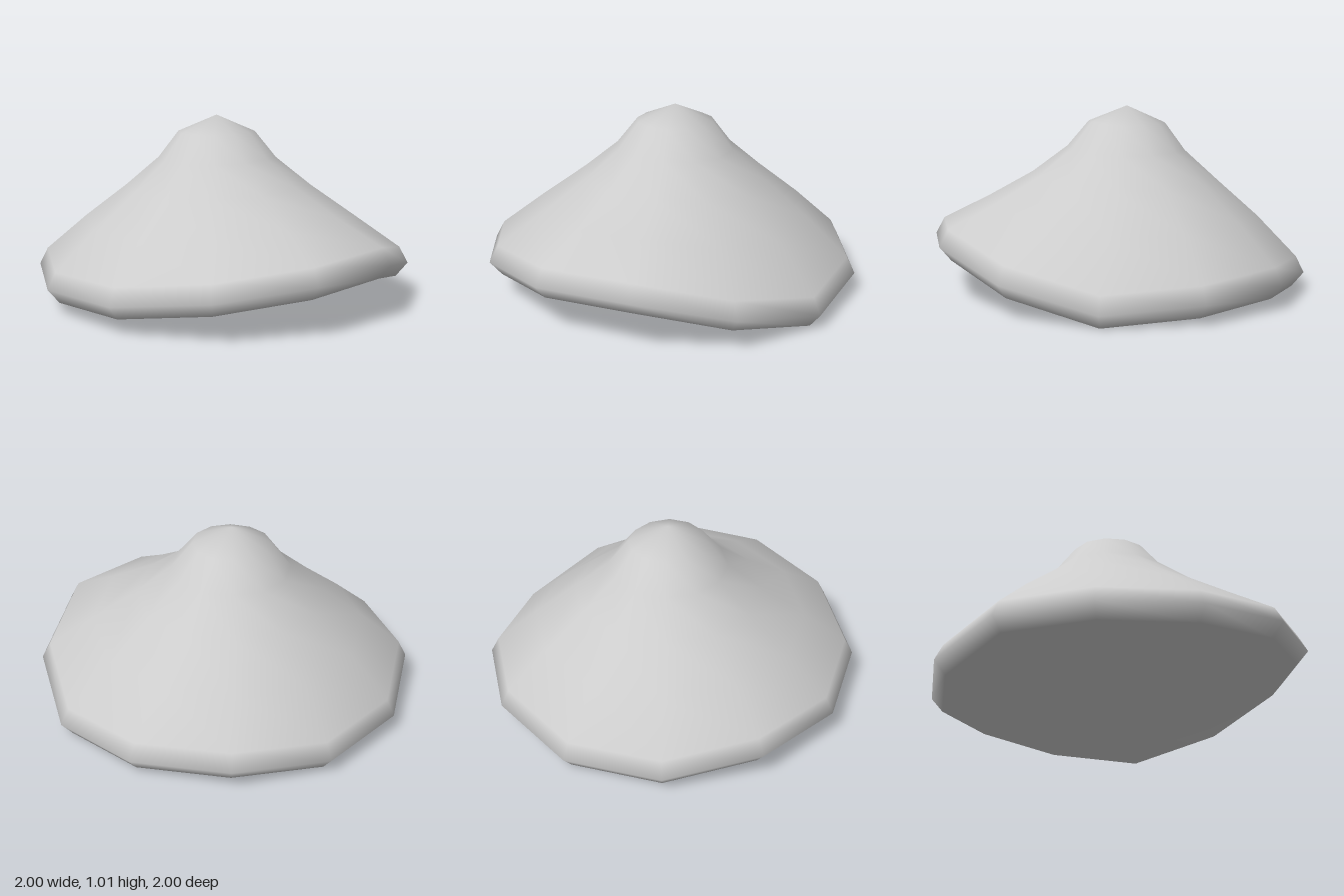
import * as THREE from 'three';

const SIDES = 12;
// Height of the wavy rim at each of the twelve corners, from the left side round the front
const RIM = [0.2, 0.145, 0.085, 0.065, 0.08, 0.02, 0.01, 0.05, 0.03, 0, 0.11, 0.22];

// Rings from crown to underside: half width, height, share of rim wave, x shift
const RINGS = [
  [0.205, 0.915, 0.05, -0.05],
  [0.315, 0.765, 0.1, -0.045],
  [0.495, 0.605, 0.17, -0.035],
  [0.725, 0.4, 0.5, -0.025],
  [0.955, 0.17, 1, -0.003],
  [1.0, 0.08, 1, 0],
  [0.938, 0.003, 1, 0],
  [0.8, 0.08, 0.85, 0],
  [0.5, 0.09, 0.3, 0],
  [0.25, 0.14, 0.1, 0],
];

function shellGeometry() {
  const positions = [-0.05, 1.01, 0];
  const index = [];
  const at = (ring, side) => 1 + ring * SIDES + (side % SIDES);

  for (const [half, height, wave, shift] of RINGS) {
    const radius = half / Math.cos(Math.PI / SIDES);
    for (let s = 0; s < SIDES; s++) {
      const a = ((s + 0.5) / SIDES) * Math.PI * 2;
      positions.push(shift + radius * Math.cos(a), height + wave * RIM[s], radius * Math.sin(a));
    }
  }
  const last = RINGS.length - 1;
  const centre = positions.length / 3;
  positions.push(0, 0.16, 0);

  for (let s = 0; s < SIDES; s++) {
    // Tip, bands and the middle of the underside
    index.push(0, at(0, s + 1), at(0, s));
    for (let r = 0; r < last; r++) {
      const a = at(r, s), b = at(r, s + 1), c = at(r + 1, s), d = at(r + 1, s + 1);
      index.push(a, b, c, b, d, c);
    }
    index.push(centre, at(last, s), at(last, s + 1));
  }

  const geometry = new THREE.BufferGeometry();
  geometry.setAttribute('position', new THREE.Float32BufferAttribute(positions, 3));
  geometry.setIndex(index);
  geometry.computeVertexNormals();
  return geometry;
}

export function createModel() {
  const group = new THREE.Group();
  group.name = 'pointedCap';
  const paleGrey = new THREE.MeshStandardMaterial({ color: 0xcccccc });
  paleGrey.name = 'paleGrey';

  // One closed, smooth shell: crown, rolled rim and shallow underside
  const cap = new THREE.Mesh(shellGeometry(), paleGrey);
  cap.name = 'cap';
  group.add(cap);
  return group;
}
